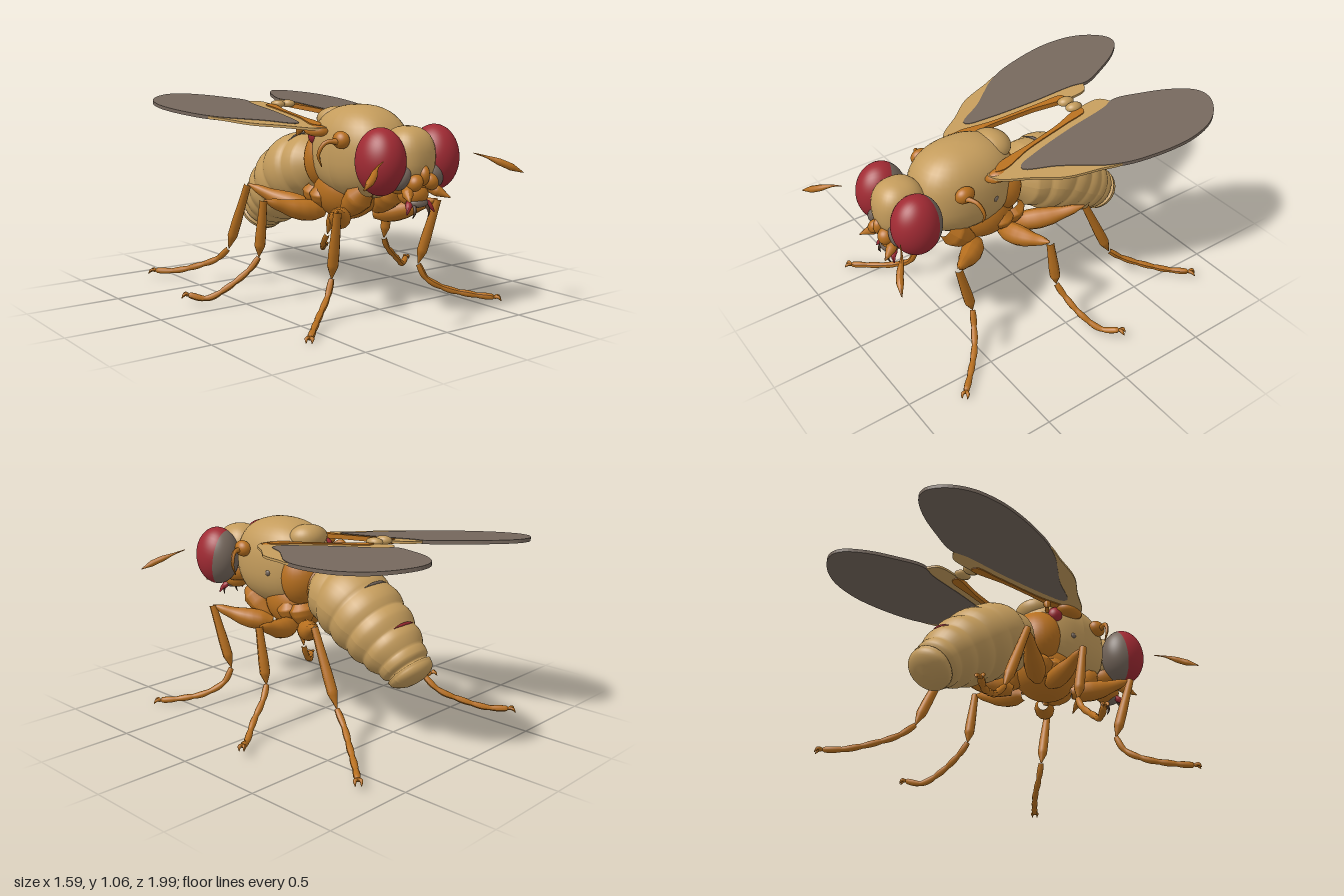
import * as THREE from 'three';

const mat = (name, color) => Object.assign(new THREE.MeshStandardMaterial({ color }), { name });

export function createModel() {
  const model = new THREE.Group();
  model.name = 'fly';
  const tan = mat('tan cuticle', 0xc49c5c);
  const orange = mat('orange cuticle', 0xb8701f);
  const red = mat('eye red', 0xa02a33);
  const gray = mat('membrane gray', 0x75675c);
  const dark = mat('dark bristle', 0x4c3626);

  const add = (name, geo, material, parent = model) => {
    const m = new THREE.Mesh(geo, material);
    m.name = name;
    parent.add(m);
    return m;
  };
  const v = (p, s = 1) => new THREE.Vector3(p[0] * s, p[1], p[2]);

  // ellipsoid, optionally a little boxy (power < 1)
  const blob = (name, c, r, material, parent = model, power = 1) => {
    const g = new THREE.SphereGeometry(1, 32, 22);
    const p = g.attributes.position;
    const f = t => Math.sign(t) * Math.abs(t) ** power;
    for (let i = 0; i < p.count; i++) p.setXYZ(i, f(p.getX(i)) * r[0], f(p.getY(i)) * r[1], f(p.getZ(i)) * r[2]);
    if (power !== 1) g.computeVertexNormals();
    const m = add(name, g, material, parent);
    m.position.set(...c);
    return m;
  };

  // tube along a curve whose radius follows a rule
  const taper = (pts, radiusAt, segs = 20, sides = 12) => {
    const curve = new THREE.CatmullRomCurve3(pts, false, 'centripetal');
    const g = new THREE.TubeGeometry(curve, segs, 1, sides, false);
    const p = g.attributes.position, q = new THREE.Vector3();
    for (let i = 0; i <= segs; i++) {
      const c = curve.getPointAt(i / segs), r = radiusAt(i / segs);
      for (let j = 0; j <= sides; j++) {
        const k = i * (sides + 1) + j;
        q.fromBufferAttribute(p, k).sub(c).multiplyScalar(r).add(c);
        p.setXYZ(k, q.x, q.y, q.z);
      }
    }
    g.computeVertexNormals();
    return g;
  };
  const lerpList = list => u => {
    const t = u * (list.length - 1), i = Math.min(Math.floor(t), list.length - 2);
    return THREE.MathUtils.lerp(list[i], list[i + 1], t - i);
  };
  const limb = (name, pts, radii, material, parent, s = 1, segs = 20) =>
    add(name, taper(pts.map(p => v(p, s)), lerpList(radii), segs), material, parent);

  // thorax
  blob('thorax', [0, 0.81, 0.33], [0.21, 0.245, 0.29], tan, model, 0.86);
  blob('scutellum', [0, 0.97, 0.14], [0.12, 0.065, 0.1], tan);
  blob('lowerThorax', [0, 0.6, 0.22], [0.17, 0.16, 0.19], orange);
  blob('rearThorax', [0, 0.76, 0.12], [0.195, 0.19, 0.11], orange);
  blob('neck', [0, 0.77, 0.57], [0.09, 0.1, 0.12], orange);
  blob('waist', [0, 0.72, 0.04], [0.11, 0.11, 0.08], orange);

  // abdomen with overlapping rings
  const spine = [[0, 0.72, 0.06], [0, 0.7, -0.06], [0, 0.66, -0.2], [0, 0.55, -0.37],
    [0, 0.44, -0.52], [0, 0.36, -0.61], [0, 0.315, -0.65]].map(p => v(p));
  const envelope = lerpList([0.07, 0.165, 0.2, 0.208, 0.2, 0.185, 0.16, 0.125, 0]);
  const joints = [0, 0.22, 0.4, 0.56, 0.7, 0.82, 0.92, 1.001];
  const abdomenRadius = u => {
    const k = joints.findIndex((j, i) => u >= j && u < joints[i + 1]);
    const t = (u - joints[k]) / (joints[k + 1] - joints[k]);
    const bulge = 0.93 + 0.1 * Math.sin(Math.PI * Math.min(1, 0.12 + t * 0.8));
    const end = u > 0.9 ? 0.128 * Math.sqrt(Math.max(0, 1 - ((u - 0.9) / 0.1) ** 2)) : envelope(u);
    return end * bulge;
  };
  add('abdomen', taper(spine, abdomenRadius, 110, 36), tan).scale.x = 1.06;
  // thin marks across the back of the abdomen
  const mark = (name, u, width, material) => {
    const c = new THREE.CatmullRomCurve3(spine, false, 'centripetal');
    const p = c.getPointAt(u), t = c.getTangentAt(u), r = abdomenRadius(u) + 0.002;
    const up = new THREE.Vector3(0, -t.z, t.y);
    const pts = [-1, -0.5, 0, 0.5, 1].map(k => p.clone().addScaledVector(up, r * Math.cos(k * width))
      .add(new THREE.Vector3(1.06 * r * Math.sin(k * width), 0, 0)));
    add(name, taper(pts, lerpList([0.001, 0.008, 0.008, 0.001]), 16, 8), material);
  };
  mark('frontAbdomenMark', 0.22, 0.65, gray);
  mark('middleAbdomenMark', 0.4, 0.4, gray);
  mark('rearAbdomenMark', 0.7, 0.45, red);

  // head and mouthparts
  const head = new THREE.Group();
  head.name = 'head';
  model.add(head);
  blob('face', [0, 0.82, 0.7], [0.125, 0.15, 0.135], tan, head, 0.85);
  blob('lowerFace', [0, 0.7, 0.7], [0.14, 0.07, 0.11], orange, head);
  blob('mouth', [0, 0.64, 0.74], [0.075, 0.06, 0.08], orange, head);
  blob('mouthPlate', [0, 0.6, 0.77], [0.06, 0.025, 0.05], gray, head);
  blob('noseRidge', [0, 0.74, 0.82], [0.025, 0.05, 0.03], orange, head);

  const membrane = [[0.27, 0.13], [0.36, -0.02], [0.44, -0.12], [0.51, -0.21], [0.565, -0.32], [0.6, -0.45], [0.62, -0.58],
    [0.622, -0.7], [0.59, -0.84], [0.52, -0.94], [0.42, -0.998], [0.34, -0.985], [0.25, -0.89], [0.17, -0.74],
    [0.115, -0.59], [0.14, -0.5], [0.165, -0.25], [0.21, 0.02], [0.24, 0.12]];
  const wingBase = [[0.19, 0.29], [0.25, 0.27], [0.35, 0.13], [0.45, 0], [0.51, -0.17], [0.55, -0.3], [0.5, -0.4],
    [0.2, -0.6], [0.12, -0.57], [0.06, -0.53], [0.055, -0.4], [0.11, -0.2], [0.14, 0], [0.16, 0.2]];
  const wingVein = [[0.06, -0.4], [0.1, -0.4], [0.125, -0.25], [0.165, 0.02], [0.215, 0.2], [0.2, 0.25],
    [0.16, 0.2], [0.135, 0], [0.105, -0.2]];
  const wingHeight = (x, z) => 0.93 + 0.1 * (0.25 - z) - 0.05 * (x - 0.35);

  for (const s of [1, -1]) {
    const side = s > 0 ? 'left' : 'right';

    // eye: red cap and gray rear, sharing one ellipsoid
    const cap = 1.83;
    const aim = new THREE.Quaternion().setFromUnitVectors(new THREE.Vector3(0, 1, 0), new THREE.Vector3(0.3 * s, 0.2, 0.93).normalize());
    for (const [name, from, len, m] of [['Eye', 0, cap, red], ['EyeRim', cap, Math.PI - cap, gray]]) {
      const g = new THREE.SphereGeometry(1, 40, 24, 0, Math.PI * 2, from, len).applyQuaternion(aim).scale(0.118, 0.165, 0.133);
      add(side + name, g, m, head).position.set(0.174 * s, 0.805, 0.702);
    }
    blob(side + 'Cheek', [0.105 * s, 0.73, 0.775], [0.04, 0.065, 0.045], gray, head).rotation.z = 0.5 * s;
    blob(side + 'AntennaBase', [0.05 * s, 0.705, 0.81], [0.035, 0.045, 0.045], orange, head).rotation.z = 0.5 * s;
    limb(side + 'Palp', [[0.06, 0.68, 0.76], [0.1, 0.65, 0.82], [0.13, 0.625, 0.87]], [0.025, 0.028, 0.003], orange, head, s);
    limb(side + 'MouthLobe', [[0.03, 0.62, 0.75], [0.07, 0.58, 0.79], [0.09, 0.55, 0.8]], [0.012, 0.018, 0.003], red, head, s);
    limb(side + 'MouthBristle', [[0.035, 0.6, 0.79], [0.045, 0.56, 0.81], [0.05, 0.53, 0.8]], [0.01, 0.008, 0.002], dark, head, s);
    limb(side + 'Feeler', [[0.29, 0.83, 0.86], [0.35, 0.81, 0.89], [0.43, 0.77, 0.95], [0.51, 0.73, 0.99]],
      [0.002, 0.006, 0.017, 0.018, 0.002], orange, head, s);

    // wing: tan base, gray membrane and orange vein as flat sheets
    const sheet = (name, pts, thick, m) => {
      const shape = new THREE.Shape();
      const c = new THREE.CatmullRomCurve3(pts.map(p => new THREE.Vector3(p[0] * s, -p[1], 0)), true, 'centripetal');
      shape.setFromPoints(c.getPoints(90).slice(0, -1).map(p => new THREE.Vector2(p.x, p.y)));
      const g = new THREE.ExtrudeGeometry(shape, { depth: thick, bevelEnabled: false });
      g.translate(0, 0, -thick / 2).rotateX(-Math.PI / 2);
      const p = g.attributes.position;
      for (let i = 0; i < p.count; i++) p.setY(i, p.getY(i) + wingHeight(p.getX(i) * s, p.getZ(i)));
      g.computeVertexNormals();
      add(side + name, g, m);
    };
    sheet('WingBase', wingBase, 0.013, tan);
    sheet('WingMembrane', membrane, 0.019, gray);
    sheet('WingVein', wingVein, 0.026, orange);
    blob(side + 'WingKnob', [0.035 * s, 1.02, -0.38], [0.035, 0.022, 0.05], tan);
    blob(side + 'WingRoot', [0.2 * s, 0.92, 0.22], [0.05, 0.03, 0.09], orange);
    blob(side + 'ShoulderPlate', [0.21 * s, 0.89, 0.44], [0.035, 0.045, 0.055], orange);
    limb(side + 'ShoulderSpur', [[0.2, 0.88, 0.46], [0.29, 0.88, 0.42], [0.32, 0.82, 0.4], [0.3, 0.76, 0.4]], [0.02, 0.012, 0.01, 0.003], orange, model, s);
    blob(side + 'WingHinge', [0.15 * s, 0.89, 0.15], [0.045, 0.05, 0.04], red);
    limb(side + 'Balancer', [[0.14, 0.9, 0.1], [0.18, 0.92, 0.06], [0.2, 0.88, 0.04]], [0.01, 0.012, 0.022, 0.003], orange, model, s);
    blob(side + 'ThoraxSpot', [0.196 * s, 0.78, 0.25], [0.012, 0.02, 0.02], gray);

    // legs: hip, coxa end, knee, ankle, then the foot
    const legs = {
      Front: [[0.1, 0.64, 0.5], [0.11, 0.47, 0.31], [0.33, 0.56, 0.57], [0.29, 0.2, 0.47],
        [[0.33, 0.12, 0.49], [0.42, 0.06, 0.55], [0.53, 0.03, 0.65], [0.61, 0.02, 0.73]]],
      Middle: [[0.12, 0.62, 0.17], [0.1, 0.48, 0.15], [0.43, 0.56, 0.07], [0.43, 0.25, 0.02],
        [[0.47, 0.19, 0], [0.58, 0.1, -0.04], [0.68, 0.04, -0.1], [0.76, 0.06, -0.16]]],
      Hind: [[0.1, 0.62, 0.09], [0.1, 0.48, 0.06], [0.33, 0.6, -0.24], [0.35, 0.21, -0.42],
        [[0.38, 0.14, -0.5], [0.45, 0.09, -0.6], [0.54, 0.05, -0.72], [0.62, 0.045, -0.81]]],
    };
    for (const [kind, [hip, coxa, knee, ankle, foot]] of Object.entries(legs)) {
      const leg = new THREE.Group();
      leg.name = side + kind + 'Leg';
      model.add(leg);
      limb('coxa', [hip, coxa], [0.045, 0.075, 0.065, 0.04, 0.004], orange, leg, s);
      const mid = [0, 1, 2].map(i => (coxa[i] + knee[i]) / 2 - (i === 1 ? 0.015 : 0));
      limb('femur', [coxa, mid, knee], [0.03, 0.055, 0.058, 0.05, 0.035, 0.026, 0.004], orange, leg, s);
      limb('tibia', [knee, ankle], [0.02, 0.022, 0.025, 0.028, 0.028, 0.003], orange, leg, s, 30);
      // foot with slightly swollen joints
      const r = u => (u > 0.98 ? 0.004 : 0.014 + 0.004 * Math.abs(Math.sin(u * Math.PI * 5)));
      add('foot', taper([ankle, ...foot].map(p => v(p, s)), r, 40, 10), orange, leg);
      const tip = foot[3], prev = foot[2];
      const dx = (tip[0] - prev[0]) * 0.3, dz = (tip[2] - prev[2]) * 0.3;
      for (const k of [-1, 1]) {
        const a = [tip[0] + dx * 0.5 - k * dz * 0.4, tip[1] + 0.004, tip[2] + dz * 0.5 + k * dx * 0.4];
        const b = [tip[0] + dx - k * dz * 0.4, Math.max(0.004, tip[1] - 0.018), tip[2] + dz + k * dx * 0.4];
        limb('claw', [tip, a, b], [0.01, 0.009, 0.002], orange, leg, s, 8);
      }
    }
  }
  return model;
}
